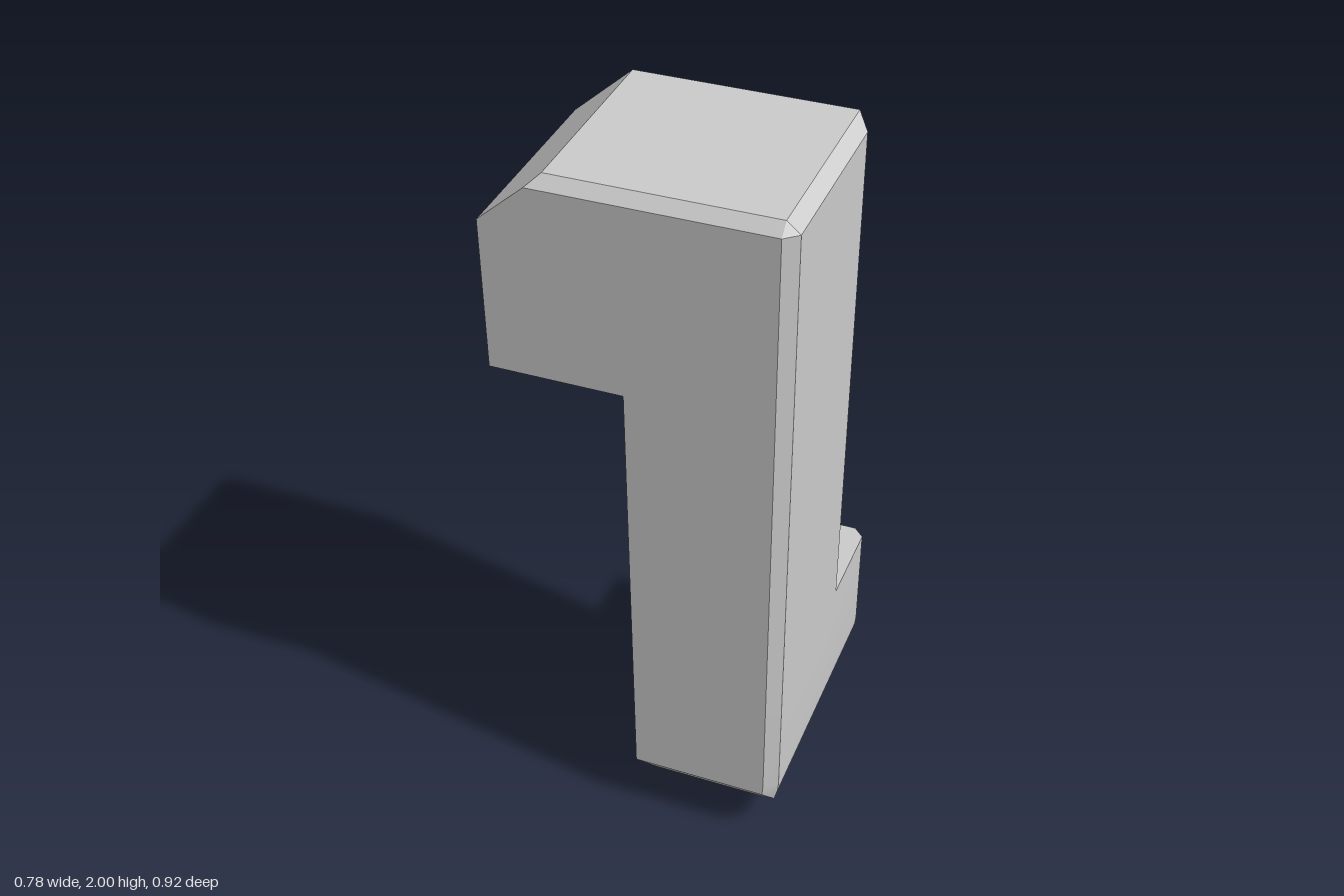
import * as THREE from 'three';
import { toCreasedNormals } from 'three/addons/utils/BufferGeometryUtils.js';

const R = 0.2, ARC_X = 0.175; // rounded lower side corner
const lerp = THREE.MathUtils.lerp;
const clamp01 = (v) => THREE.MathUtils.clamp(v, 0, 1);
const arc = (r, y) => ARC_X + Math.sqrt(Math.max(0, r * r - (R - y) ** 2));

// Horizontal outline of the body at height y, clockwise seen from above
function ring(y, part) {
  const up = clamp01((y - 0.2) / 1.8);
  const top = clamp01((y - 1.97) / 0.03); // bevel round the top edge
  let side = y < R ? arc(R, y) : lerp(0.375, 0.39, up);
  side -= 0.035 * top;

  // inner side: column, or head with a cut corner
  const inner = part === 'head' ? -0.39 + 0.16 * clamp01((y - 1.86) / 0.14) : -0.035;

  // front: sloped toe, then a slight outward lean
  const front = (y < 0.17 ? lerp(0.3, 0.44, y / 0.17) : lerp(0.44, 0.458, up)) - 0.03 * top;
  const f = clamp01((y - 0.13) / 0.04) * (1 - top);

  // back: foot with an all-round bevel, or the plain column
  let back, bevelX, bevelZ;
  if (part === 'foot') {
    back = -0.338 + 0.03 * clamp01((0.03 - y) / 0.03);
    bevelX = y < R ? arc(R - 0.03, y) : side - 0.03;
    bevelZ = -0.308;
  } else {
    back = lerp(-0.1, -0.113, up);
    bevelX = side - 0.035 * (1 - top);
    bevelZ = back + 0.045 * (1 - top);
  }
  return [
    [inner, y, back], [bevelX, y, back], [side, y, bevelZ],
    [side, y, front - 0.03 * f], [side - 0.035 * f, y, front], [inner, y, front],
  ].map((p) => new THREE.Vector3(...p));
}

// Skin a stack of outlines and close both ends
function loft(rings) {
  const pos = [];
  const tri = (a, b, c) => {
    if (new THREE.Triangle(a, b, c).getArea() < 1e-8) return;
    for (const p of [a, b, c]) pos.push(p.x, p.y, p.z);
  };
  const n = rings[0].length;
  for (let k = 0; k < rings.length - 1; k++) {
    const lo = rings[k], hi = rings[k + 1];
    for (let i = 0; i < n; i++) {
      const j = (i + 1) % n;
      tri(lo[i], hi[i], lo[j]);
      tri(lo[j], hi[i], hi[j]);
    }
  }
  const first = rings[0], last = rings[rings.length - 1];
  for (let i = 1; i < n - 1; i++) {
    tri(first[0], first[i], first[i + 1]);
    tri(last[0], last[i + 1], last[i]);
  }
  const g = new THREE.BufferGeometry();
  g.setAttribute('position', new THREE.Float32BufferAttribute(pos, 3));
  return toCreasedNormals(g, 0.5);
}

export function createModel() {
  const group = new THREE.Group();

  // Body: foot, column and overhanging head; repeated heights make the steps
  const levels = {
    foot: [0, 0.004, 0.015, 0.03, 0.05, 0.08, 0.13, 0.17, 0.2, 0.515],
    column: [0.515, 1.44],
    head: [1.44, 1.86, 1.97, 2],
  };
  const rings = Object.entries(levels).flatMap(([part, ys]) => ys.map((y) => ring(y, part)));
  const body = new THREE.Mesh(loft(rings), new THREE.MeshStandardMaterial({ color: 0xcccccc }));
  body.name = 'body';
  group.add(body);

  // Open thin-walled pipe on the back of the foot
  const pipe = new THREE.Mesh(
    new THREE.CylinderGeometry(0.128, 0.128, 0.12, 32, 1, true).rotateX(Math.PI / 2),
    new THREE.MeshStandardMaterial({ color: 0xcccccc, side: THREE.DoubleSide }),
  );
  pipe.name = 'pipe';
  pipe.position.set(0.18, 0.248, -0.398);
  group.add(pipe);

  return group;
}
